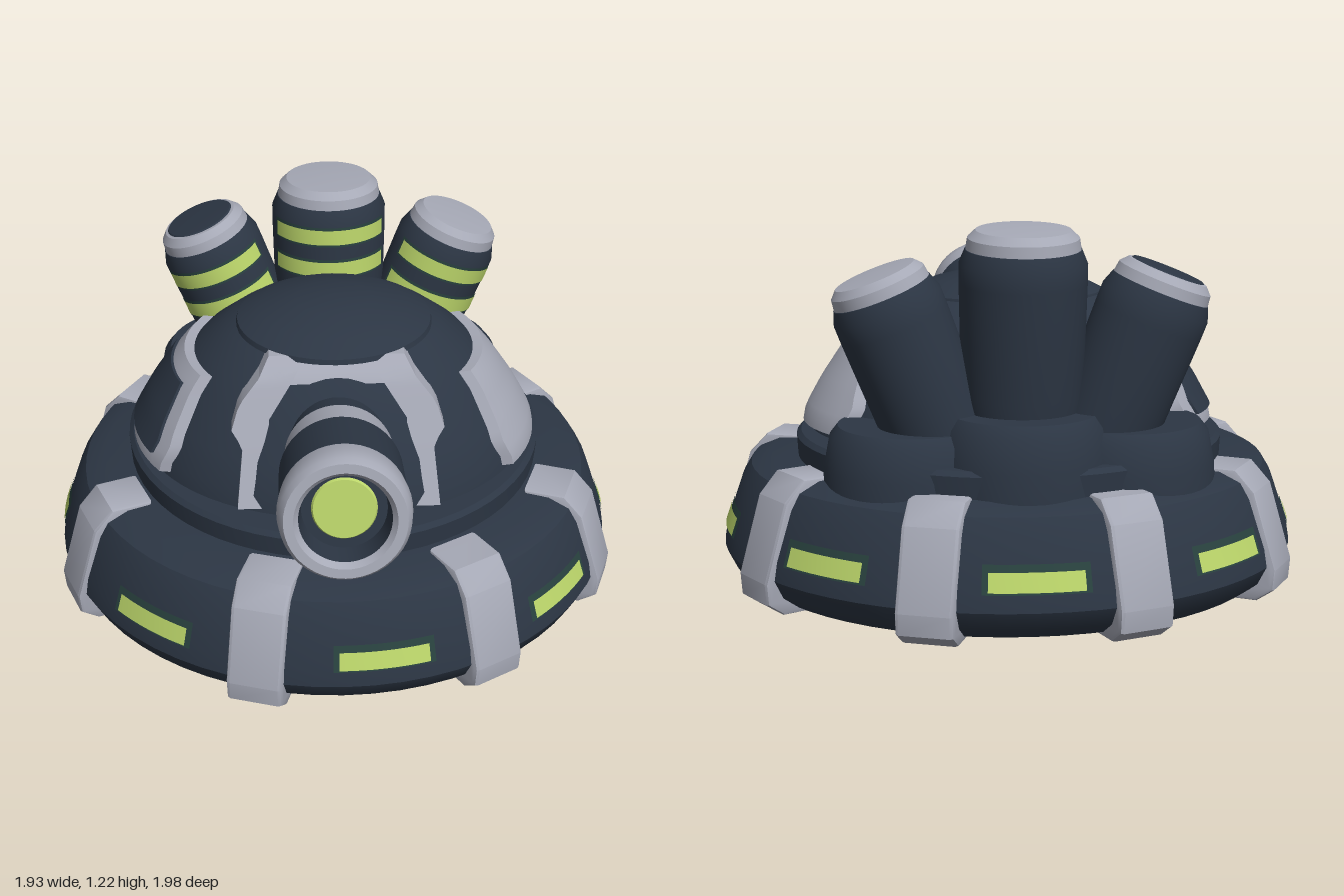
import * as THREE from 'three';
import { toCreasedNormals } from 'three/addons/utils/BufferGeometryUtils.js';

const mat = (name, color) => {
  const m = new THREE.MeshStandardMaterial({ color });
  m.name = name;
  return m;
};
const navy = mat('navy armour', 0x2c3644);
const grey = mat('pale grey trim', 0xa6a9b6);
const lime = mat('lime light', 0xbbd56a);
const teal = mat('dark teal recess', 0x29423f);

// Straight-line lookup in a table of [t, value] pairs
function lookup(table, t) {
  for (let i = 1; i < table.length; i++) {
    const [a, va] = table[i - 1], [b, vb] = table[i];
    if (t <= b) return va + (vb - va) * (t - a) / (b - a);
  }
  return table[table.length - 1][1];
}

function add(parent, name, geometry, material) {
  const mesh = new THREE.Mesh(geometry, material);
  mesh.name = name;
  parent.add(mesh);
  return mesh;
}

function group(parent, name, x = 0, y = 0, z = 0) {
  const g = new THREE.Group();
  g.name = name;
  g.position.set(x, y, z);
  parent.add(g);
  return g;
}

// Turned part from [radius, y] pairs
function turned(points, segments = 48, start = 0, sweep = Math.PI * 2) {
  const pts = points.map(([r, y]) => new THREE.Vector2(r, y));
  return toCreasedNormals(new THREE.LatheGeometry(pts, segments, start, sweep), 0.6);
}

// Curved plate: place(u, v, isRim) gives a point; the outer ring of vertices sinks to make side walls
function plate(place, nu, nv) {
  const pos = [], index = [], w = nu + 3;
  const clamp = (n, max) => Math.min(Math.max(n, 0), max) / max;
  for (let j = -1; j <= nv + 1; j++) {
    for (let i = -1; i <= nu + 1; i++) {
      const rim = i < 0 || j < 0 || i > nu || j > nv;
      pos.push(...place(clamp(i, nu), clamp(j, nv), rim));
    }
  }
  for (let j = 0; j < nv + 2; j++) {
    for (let i = 0; i < nu + 2; i++) {
      const a = j * w + i, b = a + 1, c = a + w, d = c + 1;
      index.push(a, b, d, a, d, c);
    }
  }
  const g = new THREE.BufferGeometry();
  g.setAttribute('position', new THREE.Float32BufferAttribute(pos, 3));
  g.setIndex(index);
  return toCreasedNormals(g, 0.7);
}

const DOME_Z = -0.05, DOME_K = 0.84;
const domeRadius = [[0.48, 0.67], [0.56, 0.655], [0.66, 0.6], [0.78, 0.52], [0.86, 0.45],
  [0.93, 0.36], [0.985, 0.25], [1.015, 0.13], [1.03, 0]];
const hullRadius = [[0.06, 0.935], [0.12, 0.965], [0.18, 0.955], [0.34, 0.9], [0.39, 0.87], [0.42, 0.8]];

function buildHull(root) {
  const hull = group(root, 'hull', 0, 0, -0.05);
  hull.scale.z = 0.97;
  add(hull, 'hullBody', turned([[0, 0.02], [0.88, 0.02],
    ...hullRadius.map(([y, r]) => [r, y]), [0.6, 0.425]], 64), navy);

  // Clamps wrapped around the rim
  const shape = new THREE.Shape([[0.69, 0.015], [0.92, 0.015], [0.97, 0.05], [0.975, 0.11], [0.9, 0.355],
    [0.84, 0.418], [0.72, 0.418], [0.72, 0.34], [0.85, 0.1], [0.69, 0.05]].map((p) => new THREE.Vector2(...p)));
  const clampGeo = new THREE.ExtrudeGeometry(shape,
    { depth: 0.16, bevelEnabled: true, bevelSize: 0.013, bevelThickness: 0.013, bevelSegments: 2 });
  clampGeo.translate(0, 0, -0.08);
  const smoothClamp = toCreasedNormals(clampGeo, 0.5);
  for (const deg of [-17, 31, 70, 120, 160, -160, -120, -68]) {
    add(hull, 'rimClamp', smoothClamp, grey).rotation.y = THREE.MathUtils.degToRad(deg - 90);
  }

  // Light slots between the clamps
  const slot = (y0, y1, half, lift) => turned([y0, y1].map((y) => [lookup(hullRadius, y) + lift, y]), 8, -half, half * 2);
  const frame = slot(0.175, 0.262, 0.175, 0.003), light = slot(0.182, 0.24, 0.155, 0.006);
  for (const deg of [8, 51, 95, 138, 180, -138, -94, -41]) {
    const g = group(hull, 'rimLight');
    g.rotation.y = THREE.MathUtils.degToRad(deg);
    add(g, 'lightRecess', frame, teal);
    add(g, 'lightStrip', light, lime);
  }
}

function buildDome(root) {
  const ring = add(root, 'turretRing', turned([[0.6, 0.4], [0.71, 0.4], [0.715, 0.49], [0.7, 0.505], [0.4, 0.51]], 64), navy);
  ring.position.z = -0.1;
  const dome = add(root, 'dome', turned(domeRadius.map(([y, r]) => [r, y]), 64), navy);
  dome.position.z = DOME_Z;
  dome.scale.z = DOME_K;
  const cap = add(root, 'domeHatch', turned([[0.33, 0.94], [0.325, 0.957], [0.25, 0.994], [0.13, 1.024], [0, 1.035]]), navy);
  cap.position.z = DOME_Z + 0.02;
  cap.scale.z = 0.9;

  // Side panels that follow the dome; inset shrinks the outline
  const front = [[0, 0.25], [0.26, 0.25], [1, 0.15]], back = [[0, -0.37], [0.26, -0.38], [1, -0.25]];
  const panel = (side, lift, inset) => plate((u, v, rim) => {
    const t = THREE.MathUtils.lerp(inset * 2.6, 1 - inset * 3, v);
    const zf = lookup(front, t) - inset, zb = lookup(back, t) + inset;
    const y = 0.52 + 0.31 * t, z = side > 0 ? zf + (zb - zf) * u : zb + (zf - zb) * u;
    const r = lookup(domeRadius, y) + (rim ? -0.03 : lift);
    const x = Math.sqrt(r * r - ((z - DOME_Z) / DOME_K) ** 2);
    return [side * x, y + (rim ? 0 : lift * 0.3), z];
  }, 14, 10);
  add(root, 'leftPanel', panel(1, 0.03, 0), grey);
  add(root, 'rightPanelBorder', panel(-1, 0.03, 0), grey);
  add(root, 'rightPanelInset', panel(-1, 0.037, 0.05), navy);

  // Arch framing the gun opening
  const archZ = [[0.52, 0.465], [0.6, 0.43], [0.72, 0.375], [0.9, 0.285], [0.96, 0.22]];
  const inner = [[0, 0.2], [0.5, 0.21], [0.62, 0.23], [1, 0.12]];
  const outer = [[0, 0.33], [0.45, 0.31], [0.57, 0.345], [0.75, 0.32], [1, 0.23]];
  const archPoint = (x, y, rim) => [x, y, lookup(archZ, y) - (rim ? 0.13 : 0)];
  for (const side of [1, -1]) {
    add(root, 'archLeg', plate((u, v, rim) => {
      const t = side > 0 ? u : 1 - u, a = lookup(inner, v), b = lookup(outer, v);
      return archPoint(side * (a + (b - a) * t), 0.52 + 0.41 * v, rim);
    }, 2, 14), grey);
  }
  add(root, 'archTop', plate((u, v, rim) =>
    archPoint((u * 2 - 1) * (0.265 - 0.045 * v), 0.885 + 0.07 * v, rim), 4, 4), grey);
}

function buildGun(root) {
  // Turned along y, muzzle at the origin, then tipped forward and slightly up
  const gun = group(root, 'gun', 0, 0.82, 0.955);
  gun.rotation.x = Math.PI / 2 - 0.2;
  add(gun, 'barrelRear', turned([[0.155, -0.82], [0.165, -0.48]]), navy);
  add(gun, 'barrelBand', turned([[0.15, -0.505], [0.176, -0.5], [0.18, -0.37], [0.15, -0.365]]), grey);
  add(gun, 'barrelSleeve', turned([[0.15, -0.375], [0.18, -0.37], [0.195, -0.35], [0.197, -0.13], [0.17, -0.11]]), navy);
  add(gun, 'muzzleRing', turned([[0.17, -0.13], [0.198, -0.125], [0.204, -0.07], [0.198, -0.02],
    [0.185, 0], [0.155, 0], [0.14, -0.02]]), grey);
  add(gun, 'bore', turned([[0.14, -0.02], [0.13, -0.1], [0, -0.1]]), navy);
  add(gun, 'boreLight', turned([[0.1, -0.1], [0.095, -0.092], [0, -0.092]]), lime);
}

function buildPods(root) {
  const body = turned([[0, -0.55], [0.165, -0.55], [0.175, -0.45], [0.182, -0.1], [0.182, -0.04], [0.165, 0.005], [0.15, 0.01]]);
  const cap = turned([[0.15, 0], [0.163, 0.005], [0.158, 0.04], [0.135, 0.064], [0, 0.072]]);
  const disc = turned([[0.125, 0.066], [0.12, 0.07], [0, 0.076]]);
  const arc = (y, h, r, half) => turned([[r, y - h], [r, y + h]], 20, -half, half * 2);

  const pod = (name, x, y, z, lean, back, scale, darkTop) => {
    const g = group(root, name, x, y, z);
    g.rotation.set(back, 0, lean);
    g.scale.set(scale, 1, scale);
    add(g, 'podBody', body, navy);
    add(g, 'podCap', cap, grey);
    if (darkTop) add(g, 'podCapDisc', disc, navy);
    for (const sy of [-0.085, -0.205]) {
      add(g, 'podRecess', arc(sy, 0.036, 0.184, 1.17), teal);
      add(g, 'podLight', arc(sy, 0.027, 0.187, 1.1), lime);
    }
  };
  pod('centrePod', 0, 1.15, -0.56, 0, -0.07, 1.1, false);
  pod('leftPod', 0.435, 1.015, -0.525, -0.37, -0.03, 0.97, false);
  pod('rightPod', -0.435, 1.015, -0.525, 0.37, -0.03, 0.97, true);

  // Stepped sockets under the pods
  const socket = turned([[0.29, 0.4], [0.285, 0.5], [0.265, 0.61], [0.24, 0.645], [0, 0.65]]);
  for (const [x, z, h] of [[0, -0.555, 1], [0.34, -0.47, 0.92], [-0.34, -0.47, 0.92]]) {
    const m = add(root, 'podSocket', socket, navy);
    m.position.set(x, 0, z);
    m.scale.y = h;
  }
}

export function createModel() {
  const root = new THREE.Group();
  root.name = 'domedTurret';
  buildHull(root);
  buildDome(root);
  buildGun(root);
  buildPods(root);
  return root;
}
